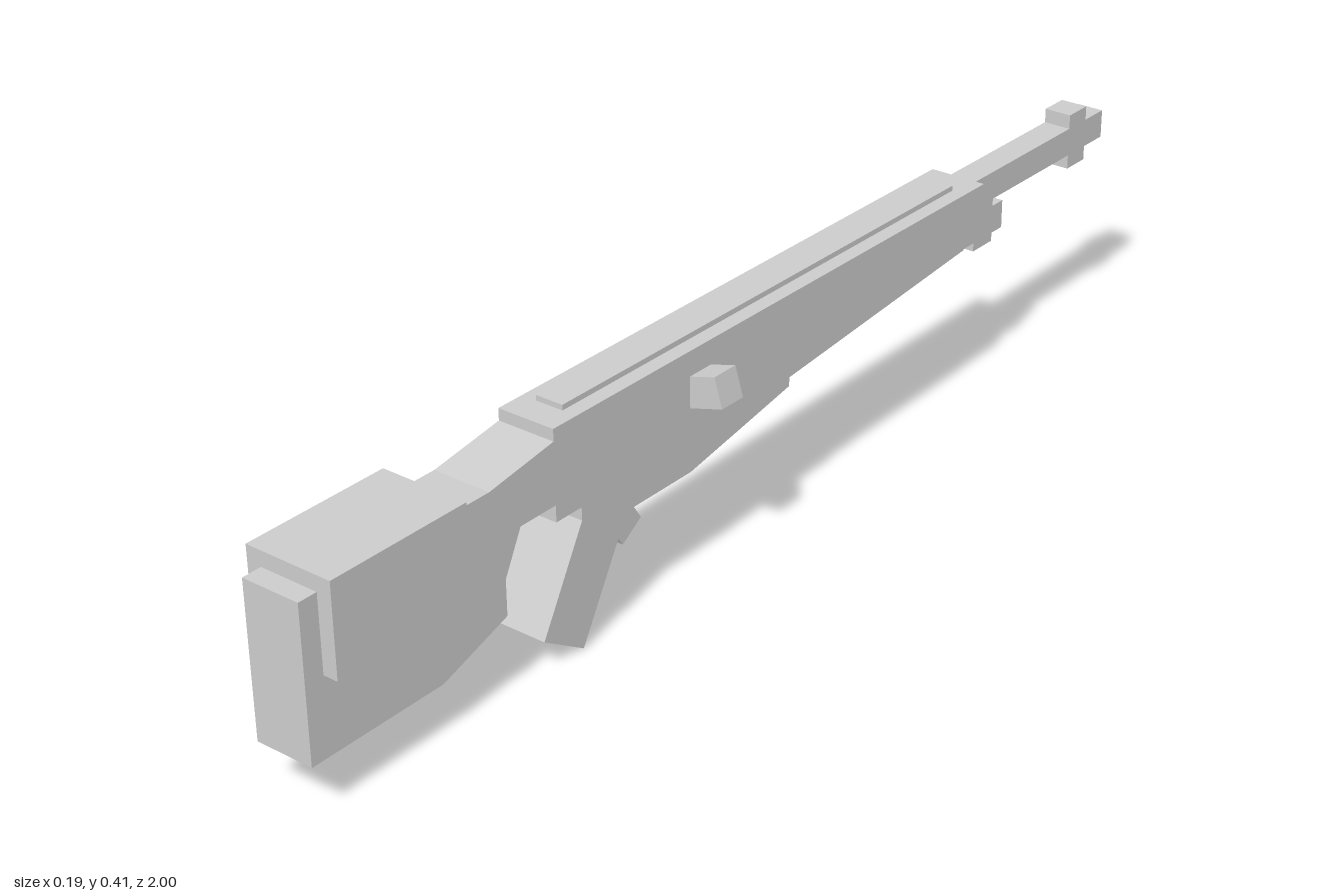
import * as THREE from 'three';

export function createModel() {
  const model = new THREE.Group();
  const grey = new THREE.MeshStandardMaterial({ color: 0xcccccc });
  grey.name = 'plain grey';

  const add = (name, geometry) => {
    const mesh = new THREE.Mesh(geometry, grey);
    mesh.name = name;
    model.add(mesh);
    return mesh;
  };

  // Side profile given as [z, y] pairs, extruded between two x positions
  const slab = (name, points, x0, x1) => {
    const shape = new THREE.Shape(points.map(([z, y]) => new THREE.Vector2(z, y)));
    const geometry = new THREE.ExtrudeGeometry(shape, { depth: x1 - x0, bevelEnabled: false });
    geometry.rotateY(-Math.PI / 2).translate(x1, 0, 0);
    return add(name, geometry);
  };

  // Box given by its limits
  const block = (name, x0, x1, y0, y1, z0, z1) => {
    const mesh = add(name, new THREE.BoxGeometry(x1 - x0, y1 - y0, z1 - z0));
    mesh.position.set((x0 + x1) / 2, (y0 + y1) / 2, (z0 + z1) / 2);
    return mesh;
  };

  const L = -0.07, R = 0.033;       // wide parts
  const l = -0.043, r = 0.007;      // narrow parts

  // Stock, receiver, grip and fore-end in one outline
  slab('body', [
    [1, 0.09], [1, 0.347], [0.635, 0.347], [0.5, 0.368], [0.5, 0.388],
    [-0.585, 0.388], [-0.585, 0.335], [-0.53, 0.335], [-0.53, 0.287],
    [-0.05, 0.245], [-0.05, 0.23], [0.195, 0.185], [0.345, 0.185],
    [0.45, 0.0], [0.535, 0.053], [0.445, 0.215], [0.445, 0.237],
    [0.5, 0.237], [0.5, 0.265], [0.575, 0.265], [0.61, 0.195],
    [0.61, 0.135], [0.745, 0.09],
  ], L, R);

  block('cheekRest', -0.096, 0.059, 0.219, 0.373, 0.708, 0.966);
  block('topRail', l, r, 0.38, 0.397, -0.53, 0.45);

  // Barrel with its front sight block
  block('barrel', l, r, 0.33, 0.38, -1, -0.5);
  block('frontSight', l, r, 0.305, 0.405, -0.945, -0.892);

  // Short rod under the barrel with its bracket
  block('lowerRod', l, r, 0.267, 0.317, -0.685, -0.38);
  block('rodBracket', l, r, 0.252, 0.332, -0.655, -0.6);

  // Trigger, tilted forward
  slab('trigger', [[0.326, 0.11], [0.283, 0.138], [0.33, 0.21], [0.373, 0.182]], l, r);

  // Bolt handle, tilted upward on the left side
  const bolt = add('boltHandle', new THREE.BoxGeometry(0.08, 0.051, 0.05));
  bolt.position.set(0.048, 0.324, 0.17);
  bolt.rotation.z = 0.28;

  return model;
}
